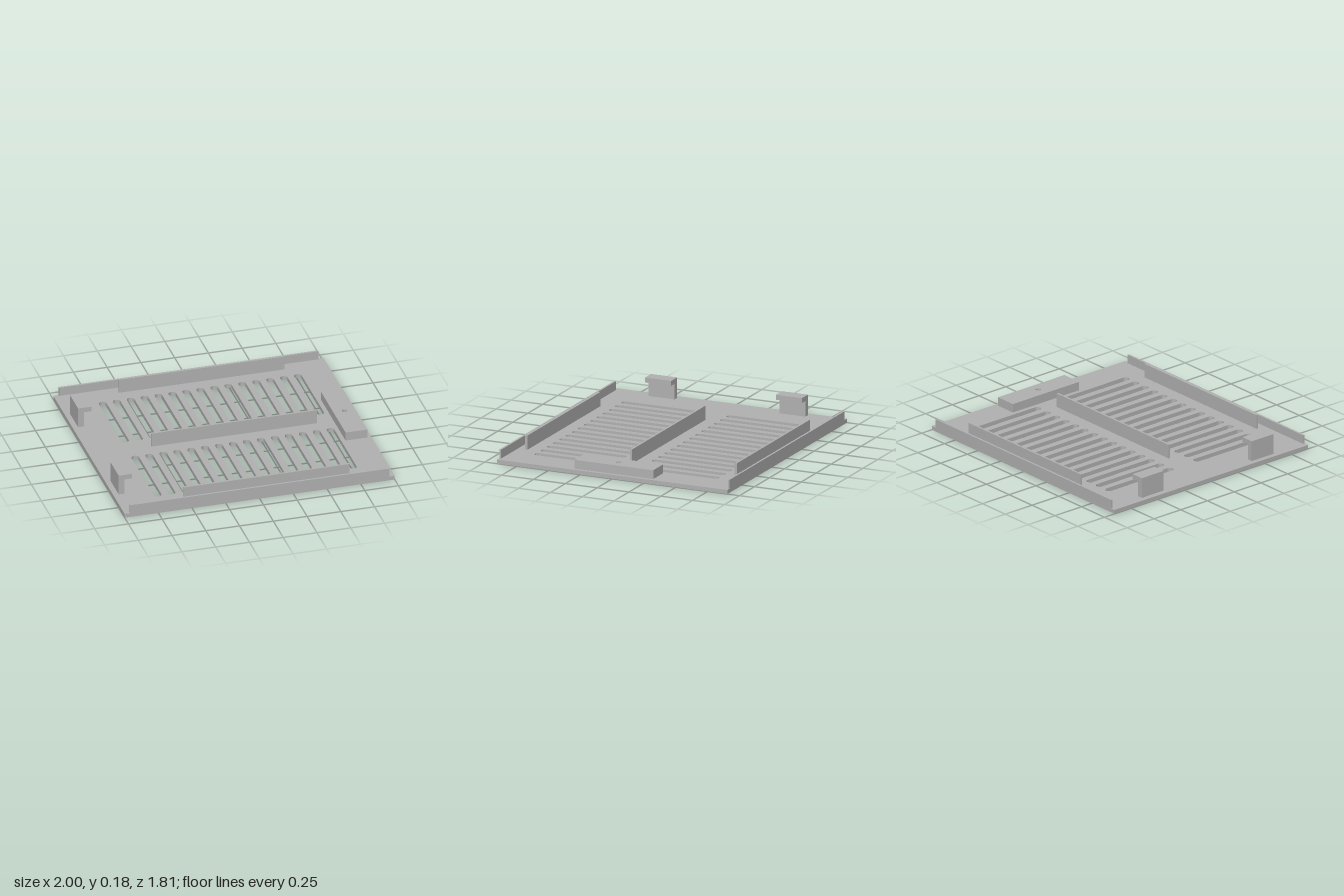
import * as THREE from 'three';

const grey = new THREE.MeshStandardMaterial({ color: 0xb2b2b2 });
grey.name = 'plain grey';

const PLATE = 0.03; // plate thickness

// Rectangle in plan, from x0..x1 and y0..y1
function rect(x0, x1, y0, y1) {
  return new THREE.Shape([
    new THREE.Vector2(x0, y0), new THREE.Vector2(x1, y0),
    new THREE.Vector2(x1, y1), new THREE.Vector2(x0, y1),
  ]);
}

// Round-ended slot running along the depth
function slot(x, y0, y1, width) {
  const r = width / 2;
  const path = new THREE.Path();
  path.absarc(x, y1 - r, r, 0, Math.PI, false);
  path.absarc(x, y0 + r, r, Math.PI, Math.PI * 2, false);
  path.closePath();
  return path;
}

// Raise a plan shape from y = bottom to y = top
function slab(name, shape, bottom, top) {
  const geo = new THREE.ExtrudeGeometry(shape, { depth: top - bottom, bevelEnabled: false, curveSegments: 10 });
  geo.rotateX(-Math.PI / 2).translate(0, bottom, 0);
  const mesh = new THREE.Mesh(geo, grey);
  mesh.name = name;
  return mesh;
}

function box(name, x0, x1, y0, y1, z0, z1) {
  const mesh = new THREE.Mesh(new THREE.BoxGeometry(x1 - x0, y1 - y0, z1 - z0), grey);
  mesh.position.set((x0 + x1) / 2, (y0 + y1) / 2, (z0 + z1) / 2);
  mesh.name = name;
  return mesh;
}

export function createModel() {
  const group = new THREE.Group();
  group.name = 'ventedCover';
  const grip = () => slot(0.89, -0.27, 0.27, 0.06);

  // Base plate with two rows of vent slots and the grip recess
  const plate = rect(-1, 1, -0.905, 0.905);
  for (let i = 0; i < 15; i++) {
    const x = -0.695 + i * 0.1033;
    plate.holes.push(slot(x, 0.103, 0.723, 0.055), slot(x, -0.723, -0.103, 0.055));
  }
  plate.holes.push(grip());
  group.add(slab('basePlate', plate, 0, PLATE));

  // Raised block: hollow underneath, with a small round hole on top
  const lower = rect(0.81, 0.972, -0.31, 0.31);
  lower.holes.push(grip());
  const upper = rect(0.81, 0.972, -0.31, 0.31);
  upper.holes.push(new THREE.Path().absarc(0.893, 0, 0.02, 0, Math.PI * 2, false));
  group.add(slab('blockBase', lower, PLATE, 0.075), slab('blockTop', upper, 0.075, 0.095));

  // Central stiffening rib
  group.add(box('centreRib', -0.54, 0.685, PLATE, 0.135, -0.008, 0.008));

  for (const s of [-1, 1]) {
    // Edge walls and inner ribs
    const wall = box('edgeWall', -0.96, 0.96, PLATE, 0.095, -0.0075, 0.0075);
    wall.position.z = s * 0.8975;
    const rib = box('sideRib', -0.54, 0.685, PLATE, 0.135, -0.008, 0.008);
    rib.position.z = s * 0.823;

    // Hooked clip, drawn as an L profile
    const profile = new THREE.Shape([
      [-0.96, PLATE], [-0.917, PLATE], [-0.917, 0.145],
      [-0.86, 0.145], [-0.86, 0.182], [-0.96, 0.182],
    ].map(([x, y]) => new THREE.Vector2(x, y)));
    const clip = new THREE.Mesh(new THREE.ExtrudeGeometry(profile, { depth: 0.205, bevelEnabled: false }), grey);
    clip.position.z = s * 0.514 - 0.1025;
    clip.name = 'hookClip';
    group.add(wall, rib, clip);
  }
  return group;
}
